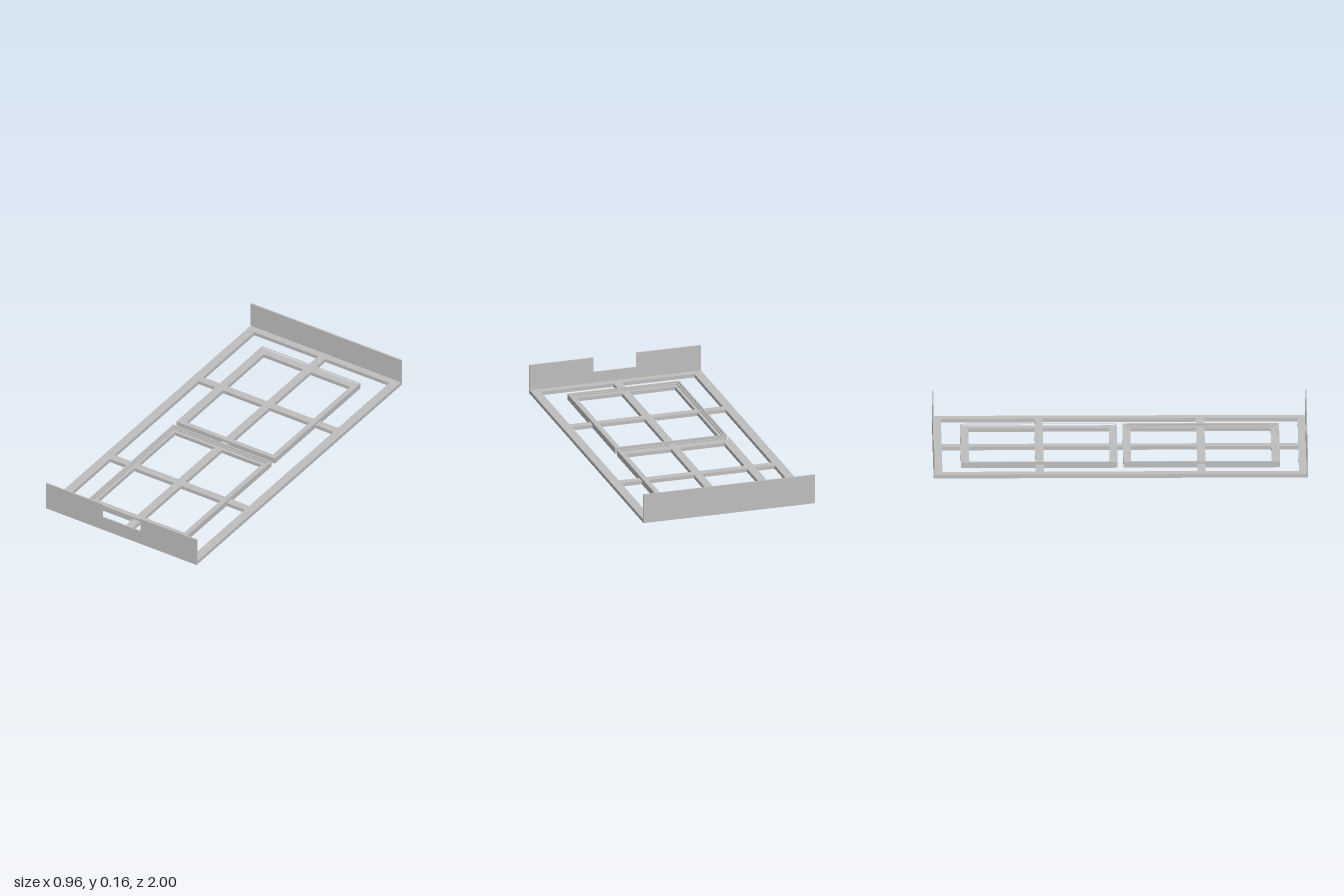
import * as THREE from 'three';

const points = (list) => list.map(([x, y]) => new THREE.Vector2(x, y));
const rect = (x0, z0, x1, z1) => [[x0, z0], [x1, z0], [x1, z1], [x0, z1]];

// Flat plate lying in the ground plane, from y0 up to y1
function slab(outline, holes, y0, y1) {
  const shape = new THREE.Shape(points(outline));
  for (const hole of holes) shape.holes.push(new THREE.Path(points(hole)));
  const geometry = new THREE.ExtrudeGeometry(shape, { depth: y1 - y0, bevelEnabled: false });
  return geometry.rotateX(Math.PI / 2).translate(0, y1, 0);
}

export function createModel() {
  const model = new THREE.Group();
  model.name = 'trayFrame';
  const grey = new THREE.MeshStandardMaterial({ color: 0xbebebe });
  grey.name = 'light grey';
  const add = (name, geometry) => {
    const mesh = new THREE.Mesh(geometry, grey);
    mesh.name = name;
    model.add(mesh);
  };

  const W = 0.48, H = 0.163, T = 0.008, BASE = 0.02;
  const rail = 0.43, bar = 0.023;          // side rail inner edge, half spine width
  const ringX = 0.314, paneX = 0.275;      // window ring outer and inner half widths
  const ringZ = [0.015, 0.852], paneZ = [0.057, 0.807];
  const cross = [0.41, 0.454];             // cross bar edges
  const endZ = 0.952;

  // Base lattice: openings mirrored to all four quarters
  const holes = [];
  for (const sx of [-1, 1]) {
    for (const sz of [-1, 1]) {
      const flip = (list) => list.map(([x, z]) => [x * sx, z * sz]);
      holes.push(flip(rect(bar, paneZ[0], paneX, cross[0])));
      holes.push(flip(rect(bar, cross[1], paneX, paneZ[1])));
      holes.push(flip([[ringX, cross[1]], [rail, cross[1]], [rail, endZ],
        [bar, endZ], [bar, ringZ[1]], [ringX, ringZ[1]]]));
    }
    // Side opening joined to the slot between the two rings
    holes.push([[bar, -ringZ[0]], [ringX, -ringZ[0]], [ringX, -cross[0]], [rail, -cross[0]],
      [rail, cross[0]], [ringX, cross[0]], [ringX, ringZ[0]], [bar, ringZ[0]]]
      .map(([x, z]) => [x * sx, z]));
  }
  add('baseLattice', slab(rect(-W, -1, W, 1), holes, 0, BASE));

  // Raised stepped rims around the two windows
  const ringRect = (inset, s) =>
    rect(-ringX + inset, s * (ringZ[0] + inset), ringX - inset, s * (ringZ[1] - inset));
  for (const [name, s] of [['front', 1], ['back', -1]]) {
    add(name + 'WindowRim', slab(ringRect(0, s), [ringRect(0.011, s)], BASE, 0.033));
    add(name + 'WindowStep', slab(ringRect(0.011, s), [ringRect(0.021, s)], BASE, 0.026));
  }

  // Upright end plates, the front one notched
  const plate = (outline, z) => new THREE.ExtrudeGeometry(
    new THREE.Shape(points(outline)), { depth: T, bevelEnabled: false }).translate(0, 0, z);
  const notch = 0.122, notchY = 0.081;
  add('frontPlate', plate([[-W, 0], [W, 0], [W, H], [notch, H], [notch, notchY],
    [-notch, notchY], [-notch, H], [-W, H]], 1 - T));
  add('backPlate', plate(rect(-W, 0, W, H), -1));

  return model;
}
